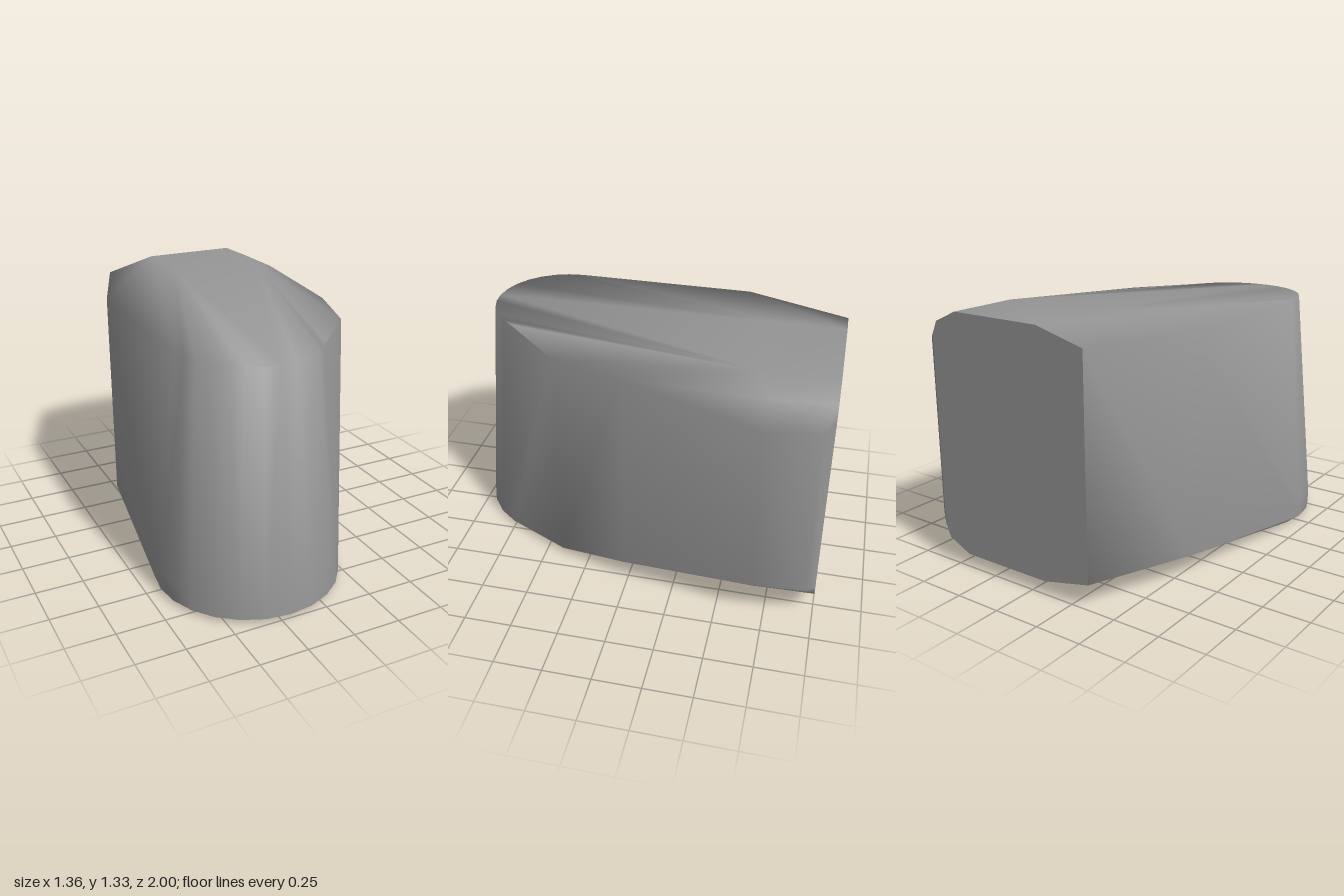
import * as THREE from 'three';
import { ConvexGeometry } from 'three/addons/geometries/ConvexGeometry.js';
import { mergeVertices } from 'three/addons/utils/BufferGeometryUtils.js';

// Points on a horizontal arc around the nose axis (angles in degrees, 90 = front)
function noseArc(radius, y, from, to, steps) {
  const points = [];
  for (let i = 0; i <= steps; i++) {
    const a = THREE.MathUtils.degToRad(from + (to - from) * i / steps);
    points.push(new THREE.Vector3(-0.2 + radius * Math.cos(a), y, 0.52 + radius * Math.sin(a)));
  }
  return points;
}

// The same plan position at two heights
const post = (x, z, low, high) => [new THREE.Vector3(x, low, z), new THREE.Vector3(x, high, z)];

// Smooth surface from the hull triangles that do, or do not, lie in the back plane
function hullPart(hull, inBackPlane) {
  const source = hull.getAttribute('position');
  const kept = [];
  for (let i = 0; i < source.count; i += 3) {
    const flatBack = [0, 1, 2].every((k) => source.getZ(i + k) < -0.999);
    if (flatBack === inBackPlane) kept.push(...source.array.slice(i * 3, i * 3 + 9));
  }
  const soup = new THREE.BufferGeometry();
  soup.setAttribute('position', new THREE.Float32BufferAttribute(kept, 3));
  const geometry = mergeVertices(soup);
  geometry.computeVertexNormals();
  return geometry;
}

export function createModel() {
  const group = new THREE.Group();
  group.name = 'taperedBlock';

  const hull = new ConvexGeometry([
    // rounded nose: chamfered foot, narrower top
    ...noseArc(0.45, 0, 0, 345, 23),
    ...noseArc(0.48, 0.02, 0, 345, 23),
    ...noseArc(0.48, 0.12, 160, 200, 2),
    ...noseArc(0.37, 1.26, 30, 180, 12),
    // left wall
    ...post(-0.56, -0.45, 0.12, 1.26),
    ...post(-0.35, -1, 0.13, 1.26),
    // back face outline
    ...post(-0.08, -1, 0.07, 1.33),
    ...post(0.43, -1, 0.07, 1.33),
    ...post(0.56, -1, 0.13, 1.27),
    ...post(0.59, -1, 0.2, 1.2),
    // bevelled back corner and right wall
    ...post(0.655, -0.95, 0.23, 1.17),
    ...post(0.675, -0.68, 0.23, 1.16),
    ...post(0.57, -0.68, 0.13, 1.27),
    ...post(0.52, 0.02, 0.11, 1.25),
    ...post(0.4, 0.4, 0.035, 1.25),
    // raised ridge of the top
    new THREE.Vector3(-0.08, 1.33, -0.62),
    new THREE.Vector3(0.43, 1.33, -0.62),
  ]);

  // softly shaded body closed by a crisp flat back
  const material = new THREE.MeshStandardMaterial({ color: 0x969696 });
  for (const [name, inBackPlane] of [['body', false], ['backFace', true]]) {
    const mesh = new THREE.Mesh(hullPart(hull, inBackPlane), material);
    mesh.name = name;
    group.add(mesh);
  }
  return group;
}
